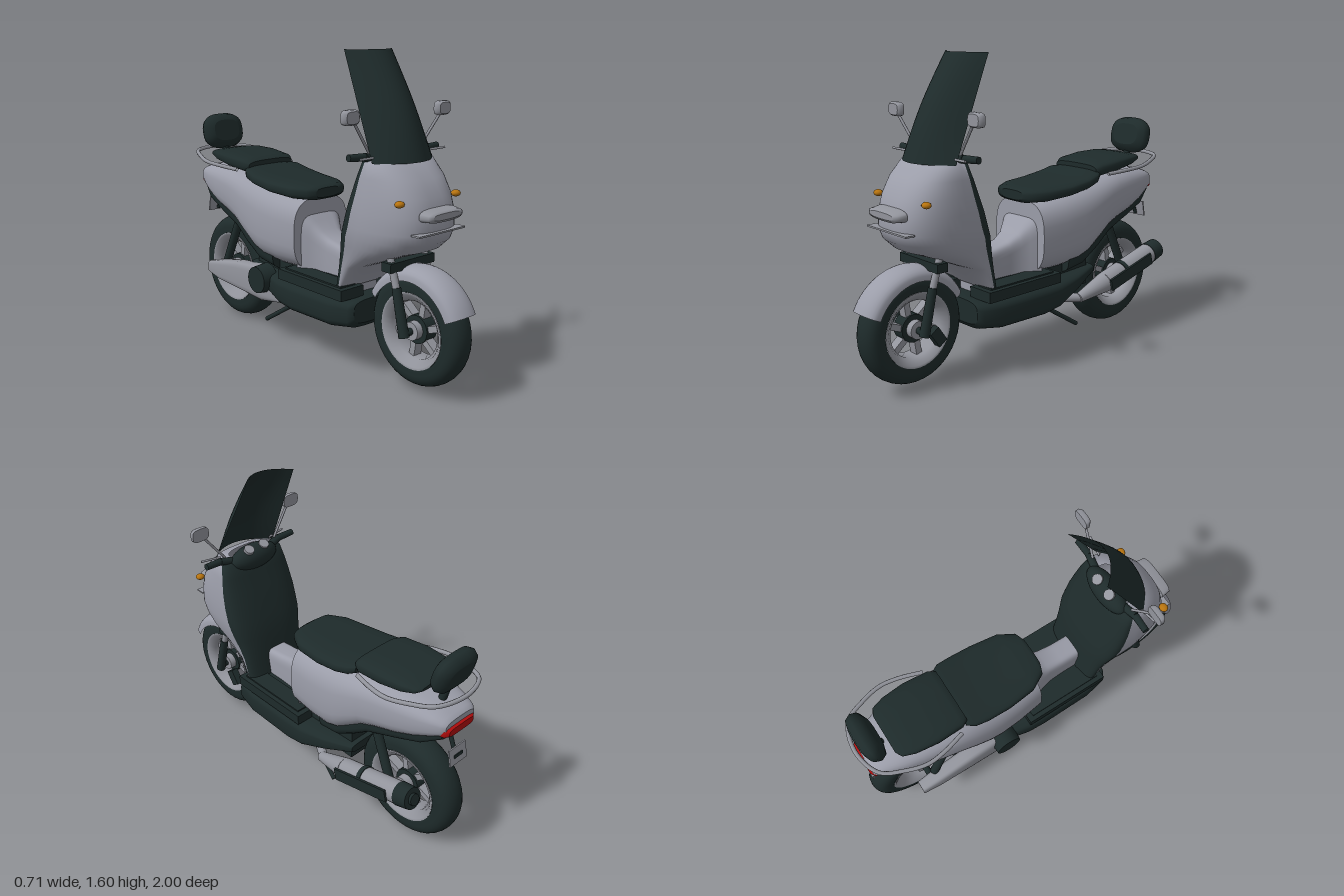
import * as THREE from 'three';

const paint = (name, color) => new THREE.MeshStandardMaterial({ name, color, side: THREE.DoubleSide });
const V = (x, y, z) => new THREE.Vector3(x, y, z);

// Skin over rings of points; optional closed rings and flat end caps
function skin(rings, closed = false, caps = false) {
  const n = rings[0].length, pos = [], idx = [];
  rings.forEach(r => r.forEach(p => pos.push(p.x, p.y, p.z)));
  for (let i = 0; i < rings.length - 1; i++)
    for (let j = 0; j < (closed ? n : n - 1); j++) {
      const a = i * n + j, b = i * n + (j + 1) % n;
      idx.push(a, b, a + n, b, b + n, a + n);
    }
  if (caps) [rings[0], rings[rings.length - 1]].forEach((r, k) => {
    const base = pos.length / 3;
    const c = r.reduce((s, p) => s.add(p), V(0, 0, 0)).divideScalar(n);
    [...r, c].forEach(p => pos.push(p.x, p.y, p.z));
    for (let j = 0; j < n; j++) {
      const a = base + j, b = base + (j + 1) % n;
      idx.push(base + n, ...(k ? [a, b] : [b, a]));
    }
  });
  const g = new THREE.BufferGeometry();
  g.setAttribute('position', new THREE.Float32BufferAttribute(pos, 3));
  g.setIndex(idx);
  g.computeVertexNormals();
  return g;
}

// Rounded-section body along z, rows run front to back: [z, half width, bottom, top]
function hull(rows, power = 3, cx = 0, sides = 36) {
  const f = v => Math.sign(v) * Math.abs(v) ** (2 / power);
  return skin(rows.map(([z, w, lo, hi]) => Array.from({ length: sides }, (_, j) => {
    const a = -j / sides * Math.PI * 2;
    return V(cx + w * f(Math.cos(a)), (lo + hi) / 2 + (hi - lo) / 2 * f(Math.sin(a)), z);
  })), true, true);
}

export function createModel() {
  const model = new THREE.Group();
  model.name = 'scooter';
  const grey = paint('body grey', 0x9b9da9), metal = paint('metal grey', 0x92949c);
  const dark = paint('dark trim', 0x1e2b2b), orange = paint('signal orange', 0xb8740f), red = paint('tail red', 0xb30d0d);

  const add = (name, geo, mat, p = [0, 0, 0], rot = [0, 0, 0], parent = model) => {
    const m = new THREE.Mesh(geo, mat);
    m.name = name;
    m.position.set(...p);
    m.rotation.set(...rot);
    parent.add(m);
    return m;
  };
  const box = (name, s, mat, p, rot) => add(name, new THREE.BoxGeometry(...s), mat, p, rot);
  const rod = (name, a, b, r1, r2, mat, sides = 16) => {
    const A = V(...a), B = V(...b), d = B.clone().sub(A);
    const m = add(name, new THREE.CylinderGeometry(r2, r1, d.length(), sides), mat, A.clone().add(B).divideScalar(2).toArray());
    m.quaternion.setFromUnitVectors(V(0, 1, 0), d.normalize());
    return m;
  };

  // Wheels: tyre, rim ring, slanted spokes, hub and brake disc
  function wheel(name, z, y, R, w) {
    const g = new THREE.Group();
    g.name = name;
    g.position.set(0, y, z);
    model.add(g);
    const lathe = pts => new THREE.LatheGeometry(pts.map(p => new THREE.Vector2(...p)), 40).rotateZ(-Math.PI / 2);
    const r = R * 0.67, tyre = [];
    for (let i = 0; i <= 14; i++) {
      const a = -Math.PI / 2 + Math.PI * i / 14;
      tyre.push([r + (R - r) * Math.cos(a) ** 0.75, w * Math.sin(a) * (0.85 + 0.15 * Math.cos(a))]);
    }
    tyre[0][0] = tyre[14][0] = r;
    add('tyre', lathe(tyre), dark, [0, 0, 0], [0, 0, 0], g);
    const q = w * 0.87;
    add('rim', lathe([[r, -q], [r - 0.012, -q], [r - 0.045, -q * 0.6], [r - 0.045, q * 0.6], [r - 0.012, q], [r, q]]), metal, [0, 0, 0], [0, 0, 0], g);
    for (let i = 0; i < 6; i++) {
      const s = new THREE.BoxGeometry(0.05, r - 0.05, 0.032).translate(0, r / 2, 0.012);
      add('spoke', s, metal, [0, 0, 0], [i * Math.PI / 3 + 0.15, 0, 0], g);
    }
    add('hub', new THREE.CylinderGeometry(0.045, 0.045, w * 1.7, 20).rotateZ(Math.PI / 2), metal, [0, 0, 0], [0, 0, 0], g);
    add('brakeDisc', new THREE.CylinderGeometry(0.07, 0.07, 0.07, 24).rotateZ(Math.PI / 2), dark, [0, 0, 0], [0, 0, 0], g);
    add('axle', new THREE.CylinderGeometry(0.018, 0.018, 0.25, 12).rotateZ(Math.PI / 2), dark, [0, 0, 0], [0, 0, 0], g);
  }
  wheel('frontWheel', 0.72, 0.31, 0.28, 0.085);
  wheel('rearWheel', -0.7, 0.3, 0.3, 0.09);

  // Front fender: half-round section swept around the wheel
  const fender = [];
  for (let i = 0; i <= 24; i++) {
    const a = (25 + 127 * i / 24) * Math.PI / 180;
    fender.push(Array.from({ length: 15 }, (_, j) => {
      const b = Math.PI * j / 14, r = 0.245 + 0.065 * Math.sin(b) ** 0.7;
      return V(0.092 * Math.cos(b), 0.31 + r * Math.sin(a), 0.72 + r * Math.cos(a));
    }));
  }
  add('frontFender', skin(fender), grey);

  // Leg shield: [y, half width, side z, front z, rear z]; grey face, dark inner panel
  const shield = [
    [1.12, 0.12, 0.54, 0.6, 0.5], [1.1, 0.195, 0.525, 0.66, 0.475], [1.03, 0.211, 0.51, 0.74, 0.45],
    [0.95, 0.223, 0.495, 0.79, 0.42], [0.87, 0.231, 0.475, 0.815, 0.39], [0.79, 0.232, 0.455, 0.82, 0.365],
    [0.74, 0.228, 0.435, 0.8, 0.35], [0.69, 0.218, 0.42, 0.745, 0.34], [0.64, 0.206, 0.4, 0.62, 0.33],
    [0.57, 0.196, 0.375, 0.46, 0.32], [0.45, 0.19, 0.345, 0.36, 0.3]];
  const face = col => skin(shield.map(row => Array.from({ length: 33 }, (_, j) => {
    const a = Math.PI * j / 32, c = Math.cos(a);
    return V(row[1] * Math.sign(c) * Math.abs(c) ** 0.72, row[0], row[2] + (row[col] - row[2]) * Math.sin(a) ** 0.72);
  })));
  add('legShield', face(3), grey);
  add('innerPanel', face(4), dark);

  // Windscreen
  const screen = [];
  for (let i = 0; i <= 10; i++) {
    const t = i / 10, edge = 0.58 - 0.24 * t, mid = 0.69 - 0.255 * t + 0.03 * Math.sin(Math.PI * t);
    screen.push(Array.from({ length: 17 }, (_, j) => {
      const u = 1 - j / 8;
      return V((0.2 - 0.045 * t) * u, 1.1 + 0.5 * t, edge + (mid - edge) * (1 - u * u));
    }));
  }
  add('windscreen', skin(screen), dark);

  // Dashboard and headlamp
  add('dashboard', new THREE.SphereGeometry(1, 28, 16), dark, [0, 1.1, 0.5]).scale.set(0.15, 0.07, 0.065);
  add('headlamp', hull([[0.86, 0.09, 0.865, 0.895], [0.85, 0.115, 0.853, 0.905], [0.8, 0.122, 0.848, 0.912]], 3), metal);
  box('noseStrip', [0.31, 0.008, 0.05], metal, [0, 0.8, 0.812]);

  // Mirrored front details
  for (const s of [1, -1]) {
    add('instrument', new THREE.CylinderGeometry(0.028, 0.028, 0.02, 16), metal, [s * 0.05, 1.16, 0.475], [-0.5, 0, 0]);
    rod('handlebar', [s * 0.08, 1.1, 0.51], [s * 0.2, 1.125, 0.53], 0.02, 0.02, dark);
    rod('grip', [s * 0.2, 1.125, 0.53], [s * 0.295, 1.13, 0.525], 0.019, 0.017, dark);
    rod('brakeLever', [s * 0.17, 1.125, 0.57], [s * 0.28, 1.13, 0.59], 0.006, 0.006, metal, 8);
    rod('mirrorStem', [s * 0.17, 1.14, 0.53], [s * 0.285, 1.29, 0.55], 0.007, 0.007, metal, 8);
    add('mirror', hull([[0.567, 0.038, 1.287, 1.343], [0.555, 0.05, 1.28, 1.35], [0.535, 0.05, 1.28, 1.35]], 3.5, s * 0.305, 16), metal);
    add('turnSignal', new THREE.SphereGeometry(1, 16, 10), orange, [s * 0.19, 0.94, 0.745]).scale.set(0.025, 0.016, 0.022);
    // Fork leg
    rod('forkTube', [s * 0.115, 0.66, 0.62], [s * 0.115, 0.48, 0.675], 0.018, 0.018, metal);
    rod('forkLower', [s * 0.115, 0.52, 0.665], [s * 0.115, 0.29, 0.72], 0.022, 0.026, dark);
    // Rear shock and stand leg
    rod('rearShock', [s * 0.125, 0.66, -0.54], [s * 0.135, 0.36, -0.67], 0.024, 0.024, dark);
    rod('standLeg', [s * 0.1, 0.25, -0.07], [s * 0.145, 0.105, -0.29], 0.012, 0.012, dark, 10);
    // Floor board
    box('floorBoard', [0.15, 0.055, 0.49], dark, [s * 0.145, 0.43, 0.155]);
    box('boardRib', [0.1, 0.008, 0.43], dark, [s * 0.145, 0.461, 0.155]);
  }
  box('forkCrown', [0.3, 0.045, 0.06], dark, [0, 0.615, 0.63]);
  box('brakeCaliper', [0.04, 0.09, 0.055], dark, [0.085, 0.26, 0.625], [0.6, 0, 0]);

  // Belly, tunnel and rear body
  add('belly', hull([[0.44, 0.17, 0.28, 0.4], [0.42, 0.2, 0.255, 0.405], [0.3, 0.222, 0.235, 0.405], [0, 0.225, 0.23, 0.405],
    [-0.1, 0.222, 0.245, 0.405], [-0.25, 0.2, 0.305, 0.41], [-0.42, 0.15, 0.37, 0.42]], 4), dark);
  add('tunnel', hull([[0.35, 0.07, 0.38, 0.6], [0.22, 0.07, 0.38, 0.61], [0.13, 0.075, 0.38, 0.63], [0.07, 0.09, 0.38, 0.665],
    [0.03, 0.115, 0.38, 0.71], [-0.02, 0.15, 0.38, 0.76]], 5), grey);
  add('rearBody', hull([[0, 0.185, 0.445, 0.83], [-0.15, 0.208, 0.445, 0.85], [-0.27, 0.22, 0.455, 0.875], [-0.34, 0.222, 0.48, 0.89],
    [-0.42, 0.221, 0.54, 0.905], [-0.5, 0.216, 0.602, 0.917], [-0.58, 0.208, 0.635, 0.925], [-0.7, 0.19, 0.668, 0.922],
    [-0.8, 0.168, 0.705, 0.91], [-0.88, 0.142, 0.745, 0.893], [-0.93, 0.12, 0.77, 0.878], [-0.95, 0.1, 0.79, 0.86]], 3), grey);
  add('rearUnderside', hull([[-0.2, 0.17, 0.41, 0.6], [-0.32, 0.18, 0.43, 0.65], [-0.43, 0.18, 0.5, 0.7], [-0.53, 0.175, 0.575, 0.75],
    [-0.7, 0.16, 0.635, 0.8], [-0.83, 0.14, 0.685, 0.8], [-0.93, 0.1, 0.75, 0.82]], 4), dark);
  box('engineBlock', [0.24, 0.18, 0.3], dark, [0, 0.4, -0.24]);

  // Seats and backrest
  add('frontSeat', hull([[0.055, 0.08, 0.835, 0.885], [0.035, 0.13, 0.822, 0.9], [-0.05, 0.178, 0.82, 0.906], [-0.2, 0.196, 0.83, 0.912],
    [-0.33, 0.197, 0.85, 0.928], [-0.4, 0.19, 0.87, 0.945], [-0.44, 0.165, 0.89, 0.945]], 3.2), dark);
  add('rearSeat', hull([[-0.425, 0.15, 0.91, 0.97], [-0.46, 0.17, 0.9, 0.99], [-0.6, 0.178, 0.915, 1.003], [-0.72, 0.166, 0.935, 1.003],
    [-0.785, 0.145, 0.955, 0.995], [-0.805, 0.11, 0.965, 0.985]], 3.2), dark);
  add('backrest', hull([[0.045, 0.085, -0.06, 0.06], [0.03, 0.12, -0.092, 0.092], [0, 0.132, -0.102, 0.102],
    [-0.03, 0.12, -0.092, 0.092], [-0.045, 0.085, -0.06, 0.06]], 2.8), dark, [0, 1.08, -0.885], [-0.22, 0, 0]);
  rod('backrestPost', [0, 0.9, -0.84], [0, 1.02, -0.87], 0.02, 0.02, dark);

  // Grab rail
  const half = [[0.19, 0.925, -0.48], [0.225, 0.937, -0.6], [0.236, 0.946, -0.7], [0.208, 0.96, -0.81], [0.15, 0.975, -0.92]];
  const mirrored = half.map(([x, y, z]) => [-x, y, z]).reverse();
  const rail = new THREE.CatmullRomCurve3([...half, [0, 0.98, -0.965], ...mirrored].map(p => V(...p)));
  add('grabRail', new THREE.TubeGeometry(rail, 60, 0.011, 8), metal);

  // Tail lamp and plate holder
  add('tailLamp', hull([[-0.91, 0.115, 0.772, 0.832], [-0.945, 0.108, 0.772, 0.832], [-0.962, 0.085, 0.782, 0.822]], 4), red);
  rod('plateBracket', [0, 0.76, -0.89], [0, 0.6, -0.955], 0.012, 0.01, dark, 8);
  box('plate', [0.12, 0.09, 0.008], metal, [0, 0.635, -0.957], [0.2, 0, 0]);
  box('plateMark', [0.06, 0.016, 0.006], dark, [0, 0.635, -0.963], [0.2, 0, 0]);

  // Left drive cover
  add('driveCover', hull([[-0.12, 0.03, 0.25, 0.33], [-0.28, 0.045, 0.225, 0.42], [-0.5, 0.045, 0.24, 0.4], [-0.68, 0.042, 0.25, 0.365],
    [-0.78, 0.035, 0.27, 0.34]], 4, -0.165, 20), metal);
  rod('clutchCap', [-0.16, 0.36, -0.25], [-0.245, 0.36, -0.25], 0.08, 0.072, dark, 24);

  // Exhaust on the other side
  rod('exhaustPipe', [0.1, 0.28, -0.1], [0.2, 0.275, -0.27], 0.02, 0.025, metal);
  rod('mufflerCone', [0.2, 0.275, -0.25], [0.212, 0.325, -0.44], 0.026, 0.055, metal, 24);
  rod('muffler', [0.212, 0.325, -0.44], [0.213, 0.42, -0.82], 0.055, 0.058, metal, 24);
  rod('mufflerCap', [0.213, 0.417, -0.81], [0.213, 0.436, -0.885], 0.061, 0.056, dark, 24);
  rod('mufflerOutlet', [0.213, 0.43, -0.87], [0.213, 0.439, -0.9], 0.03, 0.03, dark, 16);
  rod('mufflerStrap', [0.213, 0.357, -0.57], [0.213, 0.363, -0.595], 0.061, 0.061, dark, 24);
  box('heatShield', [0.012, 0.065, 0.35], dark, [0.274, 0.366, -0.6], [0.25, 0, 0]);
  return model;
}
